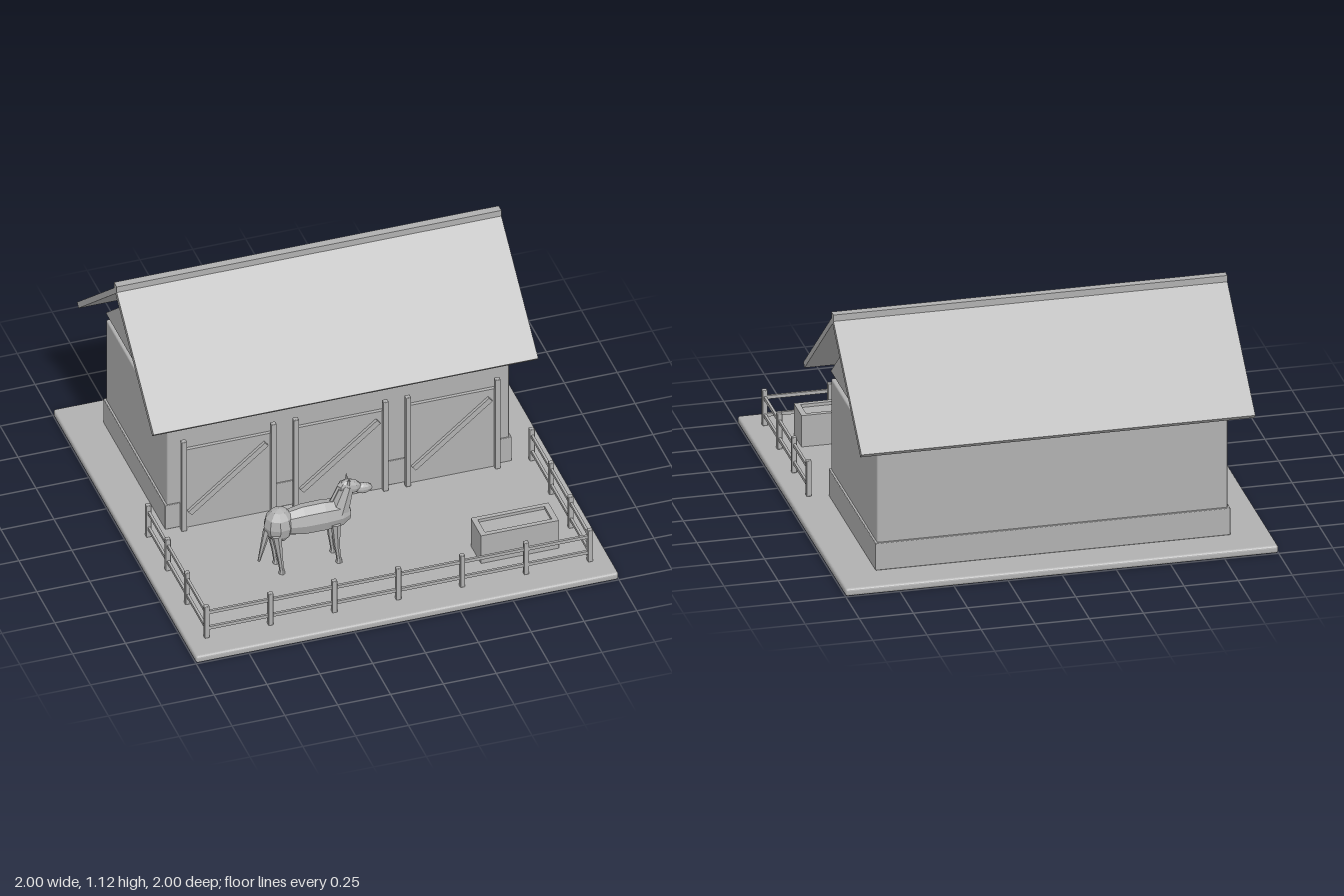
import * as THREE from 'three';
import { RoundedBoxGeometry } from 'three/addons/geometries/RoundedBoxGeometry.js';

const grey = new THREE.MeshStandardMaterial({ color: 0xb0b0b0, flatShading: true });
grey.name = 'plain grey';

function add(parent, name, geometry, x = 0, y = 0, z = 0) {
  const mesh = new THREE.Mesh(geometry, grey);
  mesh.name = name;
  mesh.position.set(x, y, z);
  parent.add(mesh);
  return mesh;
}

// Box given by its limits; a bevel rounds the edges
function block(parent, name, [x0, x1], [y0, y1], [z0, z1], bevel = 0) {
  const size = [x1 - x0, y1 - y0, z1 - z0];
  const g = bevel ? new RoundedBoxGeometry(...size, 2, bevel) : new THREE.BoxGeometry(...size);
  return add(parent, name, g, (x0 + x1) / 2, (y0 + y1) / 2, (z0 + z1) / 2);
}

// Profile of [z, y] points extruded along x
function alongX(parent, name, points, x0, x1) {
  const shape = new THREE.Shape(points.map(([z, y]) => new THREE.Vector2(-z, y)));
  const g = new THREE.ExtrudeGeometry(shape, { depth: x1 - x0, bevelEnabled: false });
  g.rotateY(Math.PI / 2);
  return add(parent, name, g, x0);
}

// Tapered limb between two points
function limb(parent, name, a, b, ra, rb, sides = 7) {
  const from = new THREE.Vector3(...a), to = new THREE.Vector3(...b);
  const dir = to.clone().sub(from);
  const mesh = add(parent, name, new THREE.CylinderGeometry(rb, ra, dir.length(), sides));
  mesh.position.copy(from).add(to).multiplyScalar(0.5);
  mesh.quaternion.setFromUnitVectors(new THREE.Vector3(0, 1, 0), dir.normalize());
  return mesh;
}

function ball(parent, name, [x, y, z], [rx, ry, rz], tilt = 0) {
  const mesh = add(parent, name, new THREE.SphereGeometry(1, 9, 6), x, y, z);
  mesh.scale.set(rx, ry, rz);
  mesh.rotation.z = tilt;
  return mesh;
}

const GROUND = 0.037;

function makeBarn() {
  const barn = new THREE.Group();
  barn.name = 'stable';
  block(barn, 'walls', [-0.81, 0.81], [GROUND, 0.612], [-0.82, 0.03], 0.008);
  block(barn, 'plinth', [-0.82, 0.82], [GROUND, 0.17], [-0.83, 0.035], 0.004);

  // Two sloping slabs meeting at the ridge
  const ridge = -0.395;
  alongX(barn, 'roof', [
    [0.14, 0.655], [ridge, 1.105], [-0.93, 0.655],
    [-0.91, 0.635], [ridge, 1.07], [0.12, 0.635],
  ], -0.91, 0.91);
  block(barn, 'ridgeCap', [-0.91, 0.91], [1.085, 1.12], [ridge - 0.019, ridge + 0.019]);

  // Thin gable panels, clear of the walls and roof
  for (const x of [-0.81, 0.78]) {
    alongX(barn, 'gable', [[0.035, 0.645], [ridge, 1.008], [-0.825, 0.645]], x, x + 0.03);
  }

  // Stall doors with posts and a diagonal brace
  for (const x of [-0.53, 0, 0.53]) {
    block(barn, 'stallDoor', [x - 0.21, x + 0.21], [GROUND, 0.465], [0.02, 0.047]);
    for (const s of [-1, 1]) {
      const px = x + s * 0.212;
      block(barn, 'doorPost', [px - 0.013, px + 0.013], [GROUND, 0.53], [0.05, 0.075], 0.004);
    }
    const brace = add(barn, 'doorBrace', new THREE.BoxGeometry(0.47, 0.026, 0.018), x, 0.27, 0.054);
    brace.rotation.z = Math.atan2(0.305, 0.37);
  }
  return barn;
}

function makeFence() {
  const fence = new THREE.Group();
  fence.name = 'fence';
  const X = 0.907, Z = 0.868, backZ = 0.055, r = 0.012;
  const post = (x, z) =>
    block(fence, 'fencePost', [x - r, x + r], [GROUND, 0.211], [z - r, z + r], 0.004);
  for (let i = 0; i <= 6; i++) post(-X + (i * X) / 3, Z);
  for (const x of [-X, X]) {
    for (let i = 0; i < 3; i++) post(x, backZ + (i * (Z - backZ)) / 3);
  }
  for (const y of [0.087, 0.173]) {
    block(fence, 'frontRail', [-X, X], [y - 0.008, y + 0.008], [Z - 0.006, Z + 0.006]);
    for (const x of [-X, X]) {
      block(fence, 'sideRail', [x - 0.006, x + 0.006], [y - 0.008, y + 0.008], [backZ, Z]);
    }
  }
  return fence;
}

function makeTrough() {
  const trough = new THREE.Group();
  trough.name = 'trough';
  const rect = (P, w, h) => {
    const p = new P();
    p.moveTo(-w, -h).lineTo(w, -h).lineTo(w, h).lineTo(-w, h).closePath();
    return p;
  };
  const shape = rect(THREE.Shape, 0.184, 0.072);
  shape.holes.push(rect(THREE.Path, 0.158, 0.05));
  const g = new THREE.ExtrudeGeometry(shape, { depth: 0.153, bevelEnabled: false });
  g.rotateX(-Math.PI / 2);
  add(trough, 'troughWalls', g, 0.622, GROUND, 0.661);
  block(trough, 'troughFill', [0.464, 0.78], [GROUND, 0.175], [0.611, 0.711]);
  return trough;
}

function makeHorse() {
  const horse = new THREE.Group();
  horse.name = 'horse';
  horse.position.z = 0.472;

  // Barrel turned about the x axis, then narrowed
  const profile = [[0, -0.42], [0.062, -0.39], [0.076, -0.32], [0.077, -0.22],
    [0.068, -0.14], [0.042, -0.1], [0, -0.09]].map(([r, x]) => new THREE.Vector2(r, x));
  const body = new THREE.LatheGeometry(profile, 9);
  body.rotateZ(-Math.PI / 2);
  body.scale(1, 1, 0.8);
  add(horse, 'barrel', body, 0, 0.279, 0);
  ball(horse, 'rump', [-0.43, 0.279, 0], [0.072, 0.088, 0.065]);

  // Neck, mane and head
  limb(horse, 'neck', [-0.15, 0.29, 0], [-0.105, 0.42, 0], 0.052, 0.031, 8);
  limb(horse, 'mane', [-0.187, 0.335, 0], [-0.135, 0.445, 0], 0.01, 0.008, 5);
  ball(horse, 'head', [-0.098, 0.412, 0], [0.06, 0.035, 0.029], -0.25);
  ball(horse, 'muzzle', [-0.032, 0.388, 0], [0.045, 0.027, 0.022], -0.08);

  for (const s of [-1, 1]) {
    const ear = add(horse, 'ear', new THREE.ConeGeometry(0.011, 0.042, 5), -0.105, 0.452, s * 0.018);
    ear.rotation.x = s * 0.1;
    // Legs with a knee and a hoof
    for (const [hip, knee, foot] of [[-0.455, -0.44, -0.43], [-0.175, -0.17, -0.16]]) {
      const z = s * 0.042;
      limb(horse, 'upperLeg', [hip, 0.25, z], [knee, 0.13, z], 0.024, 0.014);
      limb(horse, 'lowerLeg', [knee, 0.135, z], [foot, 0.05, z], 0.014, 0.011);
      limb(horse, 'hoof', [foot, GROUND, z], [foot, 0.058, z], 0.016, 0.012);
    }
  }
  limb(horse, 'tail', [-0.485, 0.26, 0], [-0.525, 0.095, 0], 0.019, 0.006, 6);
  return horse;
}

export function createModel() {
  const model = new THREE.Group();
  model.name = 'stableYard';
  block(model, 'groundSlab', [-1, 1], [0, GROUND], [-1, 1], 0.012);
  model.add(makeBarn(), makeFence(), makeTrough(), makeHorse());
  return model;
}
